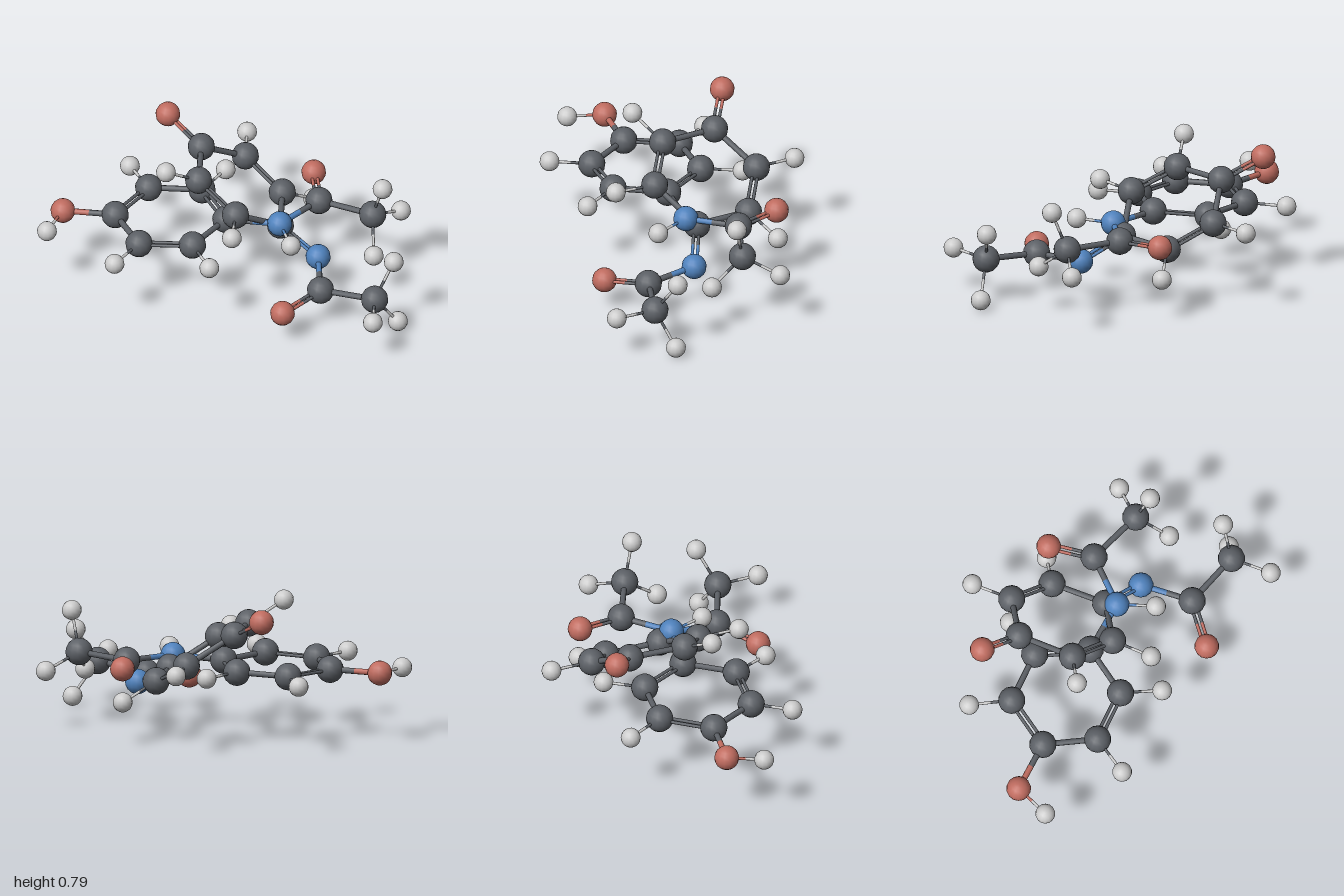
import * as THREE from 'three';

// element: radius and colour
const ELEMENTS = {
  C: { name: 'carbon', radius: 0.073, color: 0x5c6066 },
  O: { name: 'oxygen', radius: 0.066, color: 0xc06c60 },
  N: { name: 'nitrogen', radius: 0.067, color: 0x4f82bd },
  H: { name: 'hydrogen', radius: 0.053, color: 0xcccccc },
};

// Each molecule: atoms [element, x, y, z] and bonds [from, to, order]
const phenolAmide = {
  name: 'phenolAmideMolecule',
  atoms: [
    ['C', -0.61, 0.39, 0.06], ['C', -0.465, 0.395, -0.2], ['C', -0.18, 0.4, -0.21],
    ['C', -0.02, 0.4, 0.04], ['C', -0.165, 0.4, 0.295], ['C', -0.45, 0.39, 0.305],
    ['O', -0.89, 0.39, 0.06], ['H', -0.95, 0.385, 0.25],
    ['H', -0.59, 0.39, -0.39], ['H', -0.08, 0.4, -0.41],
    ['H', -0.05, 0.395, 0.485], ['H', -0.555, 0.39, 0.505],
    ['N', 0.27, 0.405, 0.05], ['H', 0.355, 0.405, 0.24],
    ['C', 0.45, 0.41, -0.18], ['O', 0.39, 0.42, -0.42], ['C', 0.75, 0.415, -0.085],
    ['H', 0.81, 0.625, -0.03], ['H', 0.88, 0.335, -0.25], ['H', 0.78, 0.28, 0.1],
  ],
  bonds: [
    [0, 1, 2], [1, 2, 1], [2, 3, 2], [3, 4, 1], [4, 5, 2], [5, 0, 1],
    [0, 6, 1], [6, 7, 1], [1, 8, 1], [2, 9, 1], [4, 10, 1], [5, 11, 1],
    [3, 12, 1], [12, 13, 1], [12, 14, 1], [14, 15, 2], [14, 16, 1],
    [16, 17, 1], [16, 18, 1], [16, 19, 1],
  ],
};

const quinoneImine = {
  name: 'quinoneImineMolecule',
  atoms: [
    ['C', -0.195, 0.62, -0.295], ['C', 0.02, 0.47, -0.45], ['C', 0.235, 0.345, -0.32],
    ['C', 0.265, 0.35, -0.015], ['C', 0.045, 0.505, 0.14], ['C', -0.17, 0.62, 0.01],
    ['O', -0.39, 0.73, -0.415], ['H', 0, 0.465, -0.675],
    ['H', 0.385, 0.24, -0.43], ['H', 0.055, 0.515, 0.365], ['H', -0.33, 0.735, 0.12],
    ['N', 0.48, 0.235, 0.085], ['C', 0.53, 0.22, 0.365], ['O', 0.35, 0.18, 0.545],
    ['C', 0.83, 0.245, 0.445],
    ['H', 0.85, 0.255, 0.67], ['H', 0.92, 0.43, 0.35], ['H', 0.945, 0.06, 0.37],
  ],
  bonds: [
    [0, 1, 1], [1, 2, 2], [2, 3, 1], [3, 4, 1], [4, 5, 2], [5, 0, 1],
    [0, 6, 2], [1, 7, 1], [2, 8, 1], [4, 9, 1], [5, 10, 1],
    [3, 11, 2], [11, 12, 1], [12, 13, 2], [12, 14, 1],
    [14, 15, 1], [14, 16, 1], [14, 17, 1],
  ],
};

const UP = new THREE.Vector3(0, 1, 0);

export function createModel() {
  const materials = {}, spheres = {};
  for (const [key, e] of Object.entries(ELEMENTS)) {
    materials[key] = new THREE.MeshStandardMaterial({ color: e.color });
    spheres[key] = new THREE.SphereGeometry(e.radius, 14, 10);
  }

  // Straight rod between two points
  function rod(from, to, radius, material) {
    const dir = to.clone().sub(from);
    const mesh = new THREE.Mesh(
      new THREE.CylinderGeometry(radius, radius, dir.length(), 8, 1, true), material);
    mesh.name = 'bond';
    mesh.position.copy(from).add(to).multiplyScalar(0.5);
    mesh.quaternion.setFromUnitVectors(UP, dir.normalize());
    return mesh;
  }

  function buildMolecule({ name, atoms, bonds }) {
    const molecule = new THREE.Group();
    molecule.name = name;
    const points = atoms.map(([, x, y, z]) => new THREE.Vector3(x, y, z));

    // Atoms
    atoms.forEach(([element], i) => {
      const atom = new THREE.Mesh(spheres[element], materials[element]);
      atom.name = ELEMENTS[element].name + 'Atom';
      atom.position.copy(points[i]);
      molecule.add(atom);
    });

    // Sideways direction of a double bond, lying in the plane of its neighbours
    function sideways(a, b) {
      const next = bonds.find(([i, j]) => (i === a && j !== b) || (j === a && i !== b));
      const c = next[0] === a ? next[1] : next[0];
      const along = points[b].clone().sub(points[a]).normalize();
      const side = points[c].clone().sub(points[a]);
      return side.addScaledVector(along, -side.dot(along)).normalize();
    }

    // Bonds: each half takes the colour of its own atom
    for (const [a, b, order] of bonds) {
      const toHydrogen = atoms[b][0] === 'H';
      const radius = toHydrogen ? 0.008 : order === 2 ? 0.009 : 0.016;
      const offsets = order === 2 ? [-0.014, 0.014] : [0];
      const side = order === 2 ? sideways(a, b) : new THREE.Vector3();
      for (const offset of offsets) {
        const start = points[a].clone().addScaledVector(side, offset);
        const end = points[b].clone().addScaledVector(side, offset);
        const middle = start.clone().lerp(end, 0.5);
        molecule.add(rod(start, middle, radius, materials[atoms[a][0]]));
        molecule.add(rod(middle, end, radius, materials[atoms[b][0]]));
      }
    }
    return molecule;
  }

  const model = new THREE.Group();
  model.name = 'moleculePair';
  model.add(buildMolecule(phenolAmide), buildMolecule(quinoneImine));
  return model;
}
